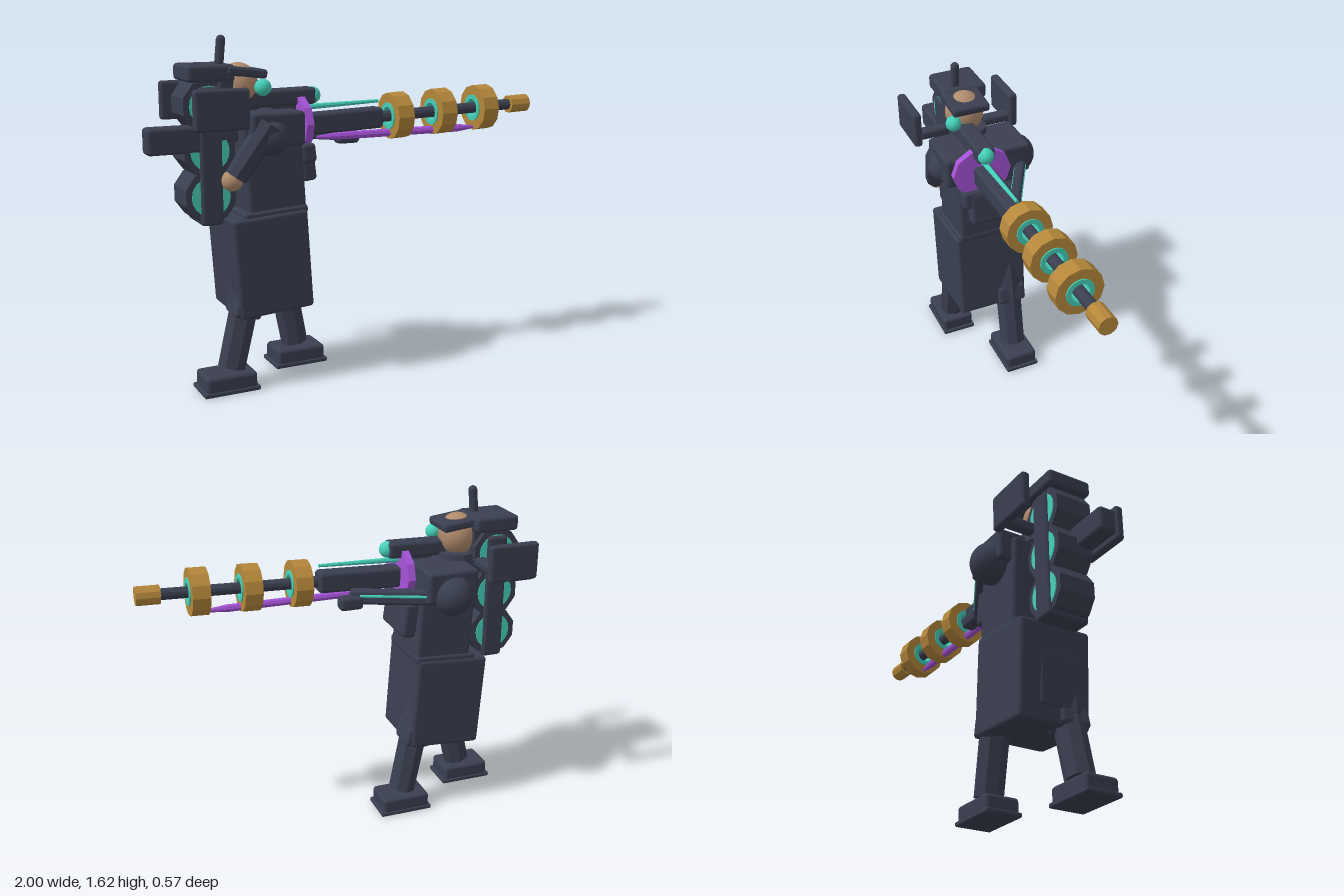
import * as THREE from 'three';
import { RoundedBoxGeometry } from 'three/addons/geometries/RoundedBoxGeometry.js';

const mat = (name, color) => Object.assign(new THREE.MeshStandardMaterial({ color }), { name });

export function createModel() {
  const cloth = mat('dark slate', 0x3a3f50);
  const gold = mat('brass', 0xb4873a);
  const teal = mat('teal glow', 0x45cfb8);
  const purple = mat('purple', 0xa452d6);
  const skin = mat('skin', 0xb08b6c);

  const model = new THREE.Group();
  model.name = 'gunner';

  const add = (name, geo, material, pos, parent = model) => {
    const m = new THREE.Mesh(geo, material);
    m.name = name;
    m.position.set(...pos);
    parent.add(m);
    return m;
  };
  // Softly rounded box, optionally leaning about z
  const box = (name, size, pos, lean = 0, material = cloth, parent = model) => {
    const r = Math.min(0.018, Math.min(...size) * 0.35);
    const m = add(name, new RoundedBoxGeometry(...size, 2, r), material, pos, parent);
    m.rotation.z = lean;
    return m;
  };
  const ball = (name, r, pos, material, parent = model) =>
    add(name, new THREE.SphereGeometry(r, 24, 16), material, pos, parent);
  // Faceted limb between two points
  const limb = (name, a, b, ra, rb, sides = 8) => {
    const p = new THREE.Vector3(...a), q = new THREE.Vector3(...b);
    const dir = q.clone().sub(p);
    const geo = new THREE.CylinderGeometry(rb, ra, dir.length(), sides).toNonIndexed();
    geo.computeVertexNormals();
    const m = add(name, geo, cloth, p.clone().add(q).multiplyScalar(0.5).toArray());
    m.quaternion.setFromUnitVectors(new THREE.Vector3(0, 1, 0), dir.normalize());
    return m;
  };
  // Faceted cylinder lying along x
  const drum = (name, r0, r1, len, sides, material, pos, parent) => {
    const geo = new THREE.CylinderGeometry(r1, r0, len, sides).toNonIndexed();
    geo.rotateZ(-Math.PI / 2);
    geo.computeVertexNormals();
    return add(name, geo, material, pos, parent);
  };
  // Hollow ring along x, square in section
  const ring = (name, ro, ri, len, sides, material, pos, parent) => {
    const h = len / 2;
    const pts = [[ri, -h], [ro, -h], [ro, h], [ri, h], [ri, -h]].map(p => new THREE.Vector2(...p));
    const geo = new THREE.LatheGeometry(pts, sides).toNonIndexed();
    geo.rotateZ(-Math.PI / 2);
    geo.computeVertexNormals();
    return add(name, geo, material, pos, parent);
  };

  // Legs and shoes: rear leg on the left (+z), leading leg on the right (-z)
  const legs = [
    { side: 'rear', z: 0.108, shoe: -0.67, hip: [-0.53, 0.72], knee: [-0.575, 0.4], ankle: [-0.645, 0.105] },
    { side: 'lead', z: -0.092, shoe: -0.24, hip: [-0.38, 0.72], knee: [-0.305, 0.42], ankle: [-0.245, 0.105] },
  ];
  for (const { side, z, shoe, hip, knee, ankle } of legs) {
    limb(side + 'Thigh', [...hip, z], [...knee, z], 0.08, 0.075);
    box(side + 'Knee', [0.13, 0.1, 0.15], [knee[0], knee[1] - 0.01, z], side === 'rear' ? -0.22 : 0.2);
    limb(side + 'Shin', [...knee, z], [...ankle, z], 0.07, 0.068);
    box(side + 'Shoe', [0.245, 0.08, 0.17], [shoe, 0.05, z]);
    box(side + 'Sole', [0.27, 0.022, 0.18], [shoe, 0.011, z]);
  }

  // Coat and torso
  box('coatSkirt', [0.365, 0.465, 0.365], [-0.455, 0.585, 0.008], 0.065);
  box('coatTail', [0.03, 0.26, 0.2], [-0.625, 0.55, 0.03], 0.03);
  box('belt', [0.31, 0.04, 0.345], [-0.435, 0.82, 0.006], 0.06);
  box('torso', [0.28, 0.45, 0.325], [-0.435, 1.03, 0.005], 0.06);
  box('chest', [0.255, 0.155, 0.44], [-0.435, 1.205, 0]);
  box('chestPouch', [0.07, 0.17, 0.27], [-0.255, 1.03, -0.005], 0.12);
  box('chestFlap', [0.07, 0.09, 0.22], [-0.265, 1.08, 0.055], 0.12);

  // Head, collar and hat
  limb('collar', [-0.55, 1.24, 0.01], [-0.55, 1.31, 0.01], 0.1, 0.09, 12);
  ball('head', 0.1, [-0.555, 1.39, 0.025], skin).scale.set(0.92, 1.04, 0.95);
  box('hair', [0.08, 0.16, 0.17], [-0.635, 1.36, 0.02]);
  box('hatCrown', [0.22, 0.075, 0.225], [-0.705, 1.453, 0]);
  box('hatBrim', [0.19, 0.042, 0.19], [-0.54, 1.453, 0.025], -0.12);
  const plume = add('hatPlume', new THREE.CapsuleGeometry(0.021, 0.1, 6, 12), cloth, [-0.64, 1.545, 0.035]);
  plume.rotation.z = -0.1;
  ball('eyepiece', 0.038, [-0.47, 1.385, 0.115], teal);

  // Shoulder plates on both sides
  for (const z of [0.255, -0.255]) {
    box('shoulderPlate', [0.25, 0.18, 0.043], [-0.715, 1.31, z]);
    box('plateBracket', [0.06, 0.05, 0.18], [-0.63, 1.27, z * 0.6]);
  }

  // Back power cells with a spine strip
  for (const y of [0.905, 1.11, 1.31]) {
    const shell = new THREE.CylinderGeometry(0.122, 0.122, 0.18, 10).toNonIndexed();
    shell.rotateX(Math.PI / 2);
    shell.computeVertexNormals();
    add('powerCell', shell, cloth, [-0.715, y, 0]);
    const core = new THREE.CylinderGeometry(0.09, 0.09, 0.188, 20);
    core.rotateX(Math.PI / 2);
    add('cellCore', core, teal, [-0.715, y, 0]);
  }
  box('cellSpine', [0.105, 0.62, 0.215], [-0.713, 1.085, 0]);

  // Arms
  limb('leftArm', [-0.47, 1.23, 0.2], [-0.625, 1.0, 0.17], 0.062, 0.052);
  ball('leftHand', 0.048, [-0.64, 0.985, 0.16], skin);
  ball('leftShoulder', 0.085, [-0.46, 1.17, 0.175], cloth);
  ball('rightShoulder', 0.1, [-0.44, 1.16, -0.19], cloth);
  const arm = new THREE.Group();
  arm.name = 'rightArm';
  arm.position.set(-0.2, 1.15, -0.105);
  arm.rotation.y = -0.5;
  model.add(arm);
  box('forearm', [0.46, 0.075, 0.05], [0, 0, 0], -0.04, cloth, arm);
  box('forearmStripe', [0.32, 0.014, 0.058], [0.02, 0.008, 0], -0.04, teal, arm);
  box('rightHand', [0.115, 0.065, 0.07], [0.01, 1.12, -0.022]);

  // Long gun, pointing along +x with a slight rise
  const gun = new THREE.Group();
  gun.name = 'longGun';
  gun.position.set(0, 1.21, 0.055);
  gun.rotation.z = 0.034;
  model.add(gun);
  box('stock', [0.31, 0.12, 0.09], [-0.845, -0.015, 0], -0.034, cloth, gun);
  box('stockBar', [0.5, 0.08, 0.08], [-0.5, -0.005, 0], 0, cloth, gun);
  box('receiver', [0.42, 0.1, 0.09], [-0.06, 0, 0], 0, cloth, gun);
  drum('barrel', 0.027, 0.027, 0.82, 12, cloth, [0.52, 0, 0], gun);
  for (const x of [0.24, 0.48, 0.72]) {
    ring('coilHousing', 0.112, 0.064, 0.083, 12, gold, [x, 0, 0], gun);
    ring('coilGlow', 0.065, 0.043, 0.095, 20, teal, [x, 0, 0], gun);
  }
  drum('muzzle', 0.044, 0.044, 0.11, 10, gold, [0.945, 0, 0], gun);
  drum('guardDisc', 0.148, 0.148, 0.036, 10, purple, [-0.276, 0.015, 0], gun).scale.y = 0.84;

  // Purple under-rod, tapered at both ends
  drum('underRod', 0.019, 0.019, 0.66, 8, purple, [0.26, 1.136, 0.055]);
  drum('underRodRear', 0.007, 0.019, 0.11, 8, purple, [-0.125, 1.136, 0.055]);
  drum('underRodTip', 0.019, 0.007, 0.1, 8, purple, [0.64, 1.136, 0.055]);

  // Sight with a lens and a slim glowing needle
  box('sight', [0.35, 0.078, 0.09], [-0.375, 1.332, 0.055], 0.02);
  box('sightMount', [0.14, 0.06, 0.06], [-0.36, 1.285, 0.055]);
  ball('sightLens', 0.04, [-0.207, 1.335, 0.058], teal);
  drum('needle', 0.014, 0.008, 0.4, 8, teal, [-0.06, 1.286, 0.055]).rotation.z = 0.03;

  return model;
}
